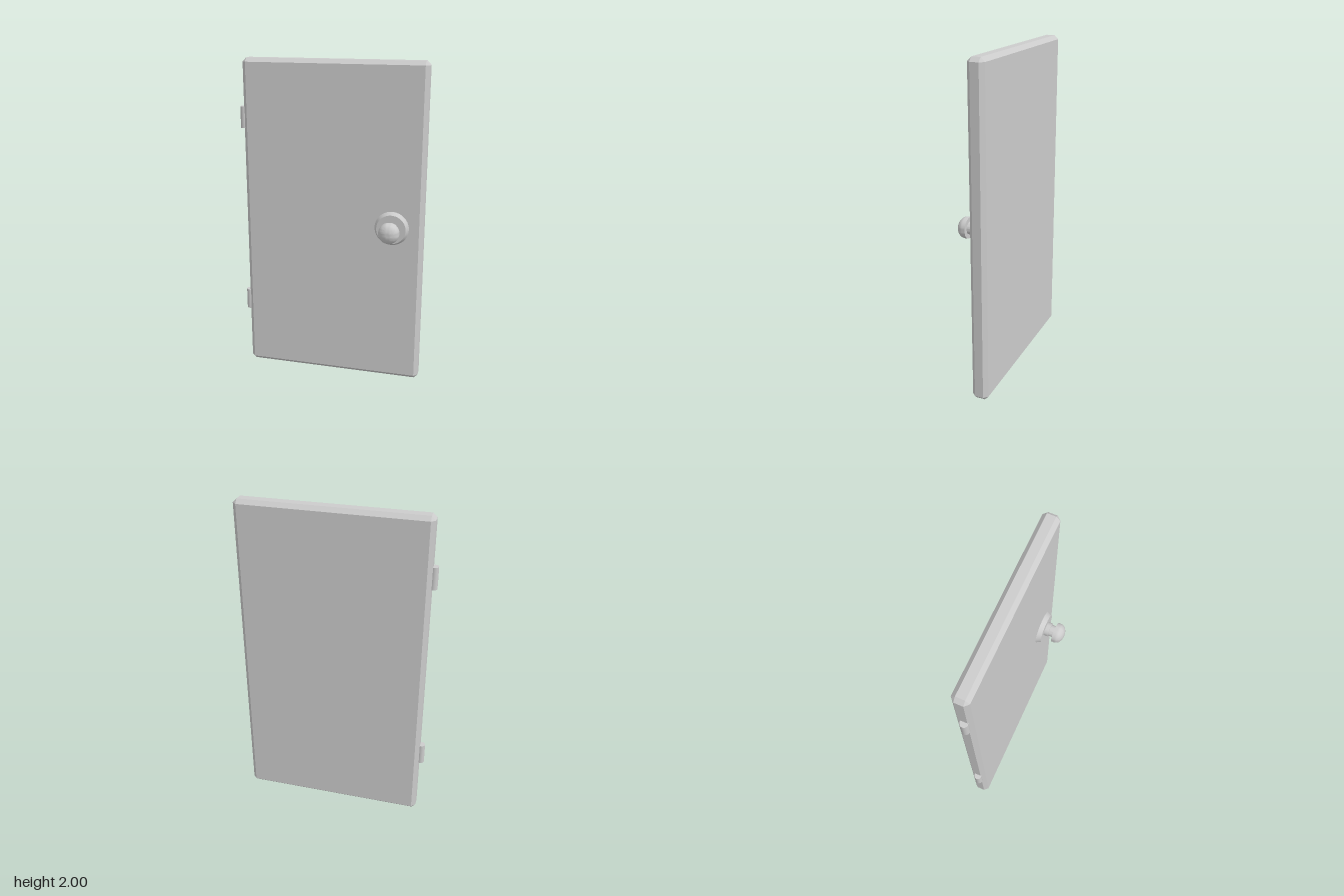
import * as THREE from 'three';
import { toCreasedNormals } from 'three/addons/utils/BufferGeometryUtils.js';
import { ConvexGeometry } from 'three/addons/geometries/ConvexGeometry.js';

const material = new THREE.MeshStandardMaterial({ color: 0xcccccc });

function addMesh(parent, name, geometry, x = 0, y = 0, z = 0) {
  const mesh = new THREE.Mesh(geometry, material);
  mesh.name = name;
  mesh.position.set(x, y, z);
  parent.add(mesh);
  return mesh;
}

// Box with every edge chamfered: three corner points per box corner
function chamferedBox(w, h, d, c) {
  const points = [];
  for (const sx of [-1, 1]) for (const sy of [-1, 1]) for (const sz of [-1, 1]) {
    for (let axis = 0; axis < 3; axis++) {
      const half = [w / 2 - c, h / 2 - c, d / 2 - c];
      half[axis] += c;
      points.push(new THREE.Vector3(sx * half[0], sy * half[1], sz * half[2]));
    }
  }
  return new ConvexGeometry(points);
}

// Turned part whose axis points forward; profile is [radius, z] from back to front
function turned(profile) {
  const points = profile.map(([r, z]) => new THREE.Vector2(r, z));
  const geometry = new THREE.LatheGeometry(points, 40).rotateX(Math.PI / 2);
  return toCreasedNormals(geometry, Math.PI / 5);
}

export function createModel() {
  const door = new THREE.Group();
  door.name = 'door';

  addMesh(door, 'doorPanel', chamferedBox(1.128, 2, 0.1, 0.024), 0.015, 1, -0.077);

  // Hinge barrels, half sunk into the side edge
  for (const [name, y] of [['upperHinge', 1.64], ['lowerHinge', 0.432]]) {
    addMesh(door, name, new THREE.CylinderGeometry(0.023, 0.023, 0.133, 24), -0.556, y, -0.067);
  }

  // Handle: backplate, stepped spindle and domed knob
  const handle = new THREE.Group();
  handle.name = 'handle';
  handle.position.set(0.388, 1.005, 0);
  door.add(handle);

  addMesh(handle, 'backplate', turned([[0, -0.03], [0.107, -0.03], [0.09, 0.002], [0, 0.002]]));
  addMesh(handle, 'spindle', turned([[0.044, 0], [0.044, 0.03], [0.037, 0.03], [0.037, 0.062]]));

  const knob = [[0, 0.06], [0.063, 0.06]];
  for (let i = 0; i <= 10; i++) {
    const a = (i / 10) * Math.PI / 2;
    knob.push([i === 10 ? 0 : 0.063 * Math.cos(a), 0.079 + 0.046 * Math.sin(a)]);
  }
  addMesh(handle, 'knob', turned(knob));

  return door;
}
